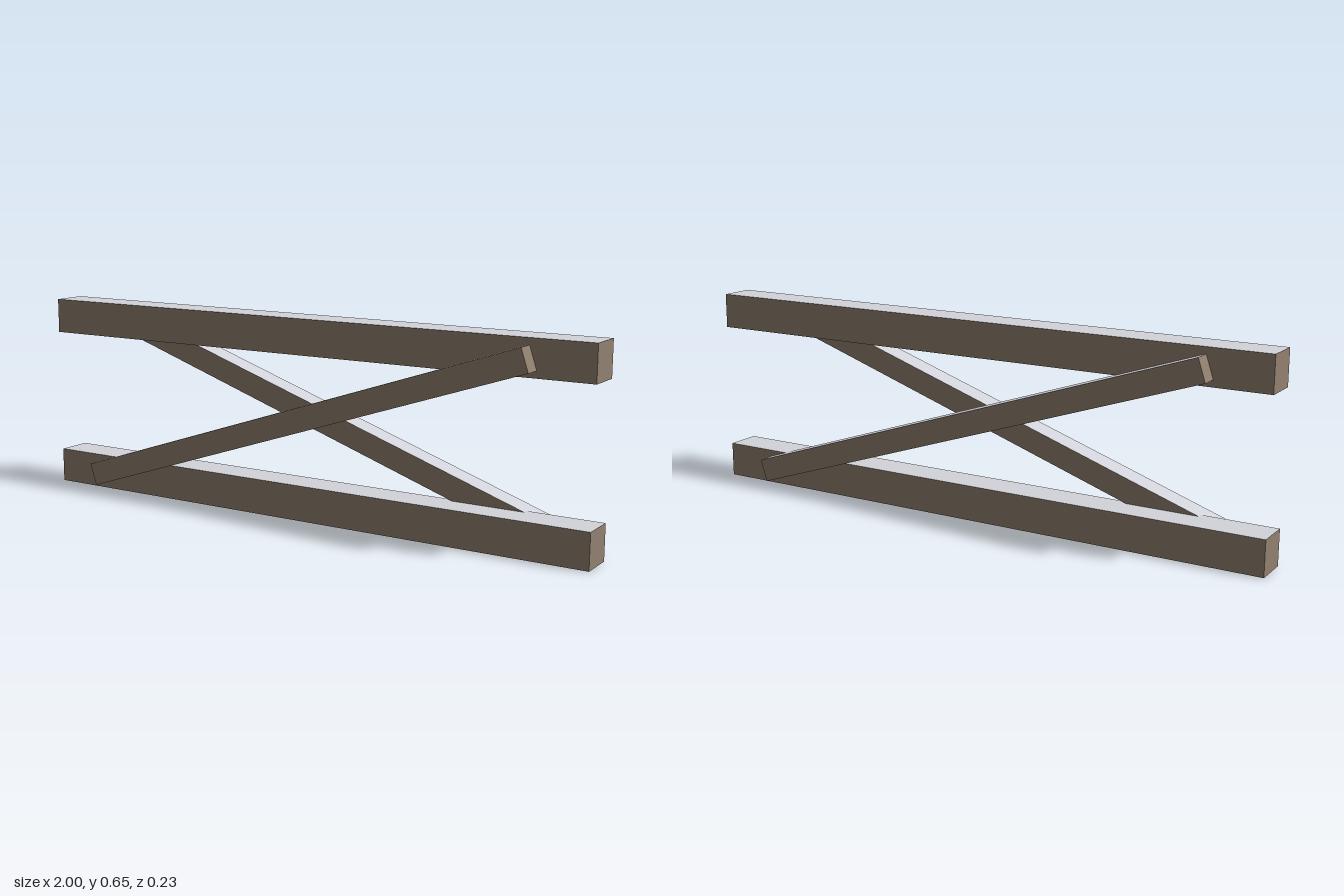
import * as THREE from 'three';

export function createModel() {
  const wood = new THREE.MeshStandardMaterial({ color: 0x928170 });
  wood.name = 'brown wood';
  const paleTop = new THREE.MeshStandardMaterial({ color: 0xd3d4db });
  paleTop.name = 'pale grey top';
  // Box face order: +x, -x, +y (top), -y, +z, -z
  const faces = [wood, wood, paleTop, wood, wood, wood];

  const group = new THREE.Group();
  group.name = 'fencePanel';

  function timber(name, length, thickness, y, z = 0, tilt = 0) {
    const mesh = new THREE.Mesh(new THREE.BoxGeometry(length, thickness, thickness), faces);
    mesh.name = name;
    mesh.position.set(0, y, z);
    mesh.rotation.z = tilt;
    group.add(mesh);
  }

  // Horizontal rails
  const rail = 0.116, height = 0.655;
  timber('bottomRail', 2, rail, rail / 2);
  timber('topRail', 2, rail, height - rail / 2);

  // Crossed diagonal braces, one on each side of the rails
  const tilt = Math.atan2(0.54, 1.616);
  timber('frontBrace', 1.704, 0.0765, height / 2, 0.077, tilt);
  timber('backBrace', 1.704, 0.0765, height / 2, -0.077, -tilt);

  return group;
}
